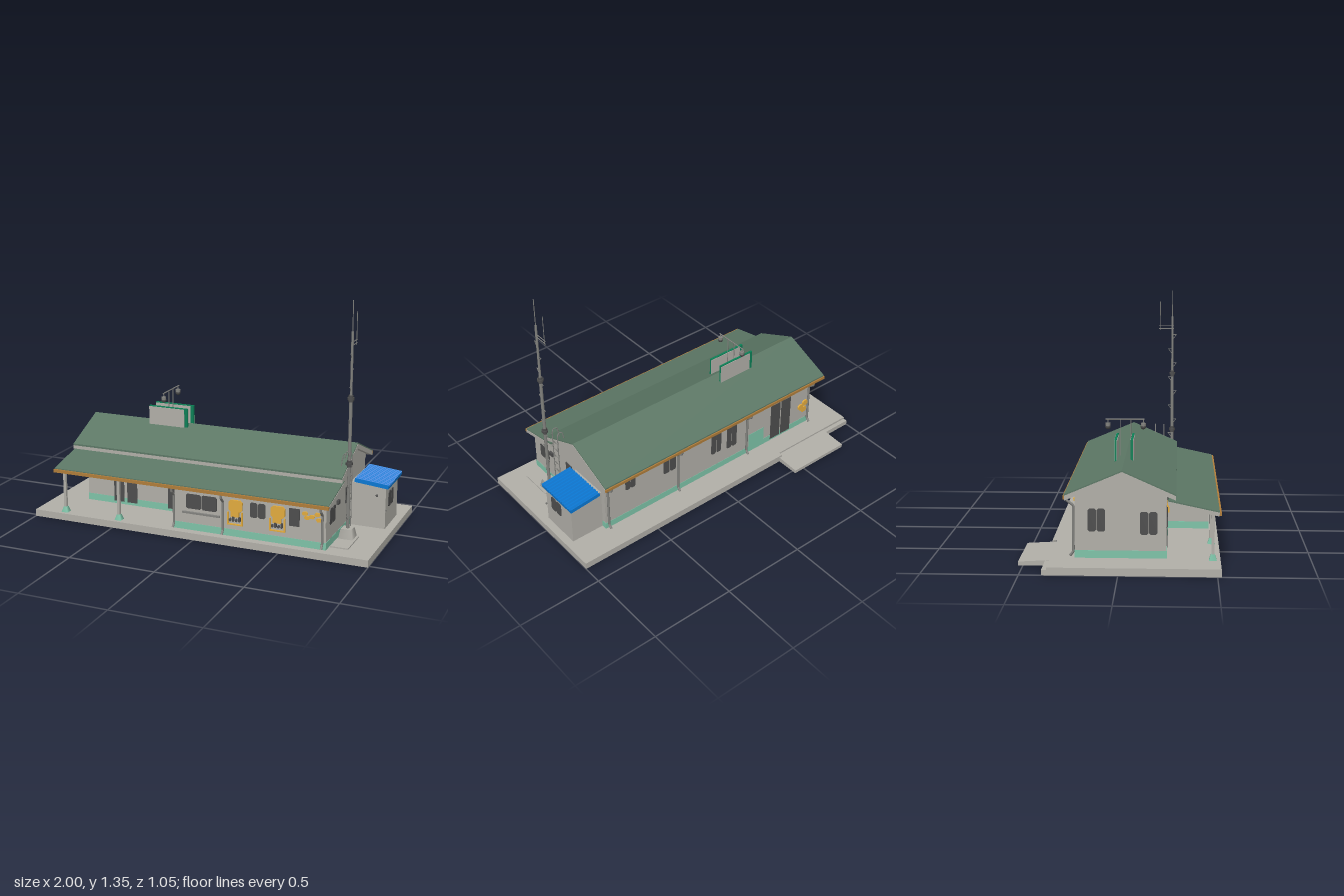
import * as THREE from 'three';

const mat = (name, color, double) => {
  const m = new THREE.MeshStandardMaterial({ color });
  m.name = name;
  if (double) m.side = THREE.DoubleSide;
  return m;
};

export function createModel() {
  const root = new THREE.Group();
  root.name = 'stationBuilding';
  const grey = mat('concreteGrey', 0xb1afa8, true);
  const green = mat('roofGreen', 0x5c7765);
  const teal = mat('tealBand', 0x7ec3a8);
  const dark = mat('darkGlass', 0x4e4e4e);
  const steel = mat('steelGrey', 0x82827e);
  const orange = mat('orangePaint', 0xe2ab3e);
  const brown = mat('gutterBrown', 0xb07d3a);
  const blue = mat('annexBlue', 0x0a78d4);
  const signGreen = mat('signGreen', 0x0c8056);

  const add = (name, geo, m) => {
    const mesh = new THREE.Mesh(geo, m);
    mesh.name = name;
    root.add(mesh);
    return mesh;
  };
  const box = (name, m, x0, x1, y0, y1, z0, z1) =>
    add(name, new THREE.BoxGeometry(x1 - x0, y1 - y0, z1 - z0)
      .translate((x0 + x1) / 2, (y0 + y1) / 2, (z0 + z1) / 2), m);
  const shapeOf = pts => new THREE.Shape(pts.map(p => new THREE.Vector2(p[0], p[1])));
  // Section given as [z, y] points, swept along x
  const sweepX = (name, m, pts, x0, x1) =>
    add(name, new THREE.ExtrudeGeometry(shapeOf(pts.map(([z, y]) => [-z, y])), { depth: x1 - x0, bevelEnabled: false })
      .rotateY(Math.PI / 2).translate(x0, 0, 0), m);
  const rod = (name, m, a, b, r, sides = 8) => {
    const p = new THREE.Vector3(...a), d = new THREE.Vector3(...b).sub(p);
    const mesh = add(name, new THREE.CylinderGeometry(r, r, d.length(), sides), m);
    mesh.position.copy(p).addScaledVector(d, 0.5);
    mesh.quaternion.setFromUnitVectors(new THREE.Vector3(0, 1, 0), d.normalize());
  };
  const pipe = (name, m, pts, r) => {
    const path = new THREE.CurvePath();
    for (let i = 1; i < pts.length; i++)
      path.add(new THREE.LineCurve3(new THREE.Vector3(...pts[i - 1]), new THREE.Vector3(...pts[i])));
    add(name, new THREE.TubeGeometry(path, 40, r, 8), m);
  };

  // Platform: open-bottomed slab, cut out under the building
  const footprint = [[-0.8, 0.24], [-0.13, 0.24], [-0.13, 0.47], [0.75, 0.47], [0.75, -0.23], [-0.8, -0.23]];
  const deck = shapeOf([[-1, -0.52], [1, -0.52], [1, 0.385], [-0.45, 0.385], [-0.45, 0.36], [-1, 0.36]]);
  deck.holes.push(new THREE.Path(footprint.map(([x, z]) => new THREE.Vector2(x, -z))));
  add('platformTop', new THREE.ShapeGeometry(deck).rotateX(-Math.PI / 2).translate(0, 0.04, 0), grey);
  box('platformFront', grey, -1, 1, 0, 0.04, 0.515, 0.52);
  box('platformBack', grey, -0.45, 1, 0, 0.04, -0.385, -0.38);
  box('platformBackStep', grey, -1, -0.45, 0, 0.04, -0.36, -0.355);
  box('platformLedge', grey, -1, -0.45, 0, 0.028, -0.385, -0.36);
  for (const s of [-1, 1]) box('platformEnd', grey, s < 0 ? -1 : 0.995, s < 0 ? -0.995 : 1, 0, 0.04, s < 0 ? -0.36 : -0.385, 0.52);
  sweepX('entranceRamp', grey, [[-0.36, 0], [-0.36, 0.03], [-0.525, 0.02], [-0.525, 0]], -0.82, -0.43);

  // Main walls as thin sheets
  const wallX = (name, x0, x1, h, z) => box(name, grey, x0, x1, 0.04, h, z - 0.002, z + 0.002);
  wallX('frontWall', -0.13, 0.75, 0.305, 0.47);
  wallX('porchWall', -0.8, -0.13, 0.36, 0.24);
  wallX('backWall', -0.8, 0.75, 0.375, -0.23);
  const peak = [[0.24, 0.39], [0.015, 0.485], [-0.23, 0.38], [-0.23, 0.04]];
  sweepX('gableWall', grey, [[0.47, 0.04], [0.47, 0.3], [0.28, 0.34], [0.28, 0.37], ...peak], 0.748, 0.752);
  sweepX('gableWall', grey, [[0.24, 0.04], ...peak], -0.802, -0.798);
  sweepX('porchSideWall', grey, [[0.47, 0.04], [0.47, 0.3], [0.24, 0.34], [0.24, 0.04]], -0.132, -0.128);
  footprint.forEach(([x, z], i) => {
    const [u, v] = footprint[(i + 1) % footprint.length], t = 0.0035;
    box('tealBand', teal, Math.min(x, u) - t, Math.max(x, u) + t, 0.04, 0.08, Math.min(z, v) - t, Math.max(z, v) + t);
  });
  box('tealPatch', teal, -0.43, -0.31, 0.08, 0.17, -0.2335, -0.231);

  // Roofs: grey slabs with green sheets on top
  sweepX('mainRoofSlab', grey, [[0.29, 0.36], [0.29, 0.383], [0.015, 0.505], [-0.28, 0.38], [-0.28, 0.355], [0.015, 0.477]], -0.87, 0.78);
  sweepX('mainRoofSheet', green, [[0.291, 0.38], [0.291, 0.39], [0.015, 0.512], [-0.281, 0.387], [-0.281, 0.379], [0.015, 0.505]], -0.868, 0.778);
  sweepX('porchRoofSlab', grey, [[0.511, 0.28], [0.511, 0.3], [0.25, 0.355], [0.25, 0.335]], -0.87, 0.78);
  sweepX('porchRoofSheet', green, [[0.512, 0.299], [0.512, 0.306], [0.25, 0.362], [0.25, 0.354]], -0.868, 0.778);
  box('frontGutter', brown, -0.87, 0.78, 0.283, 0.301, 0.511, 0.522);
  box('backGutter', brown, -0.87, 0.78, 0.362, 0.379, -0.288, -0.279);

  // Porch posts with flared feet, and downpipes
  for (const x of [-0.82, -0.475]) {
    box('porchPost', grey, x - 0.008, x + 0.008, 0.04, 0.29, 0.472, 0.488);
    add('postFoot', new THREE.CylinderGeometry(0.014, 0.028, 0.032, 4).rotateY(Math.PI / 4).translate(x, 0.056, 0.48), teal);
  }
  for (const x of [-0.13, 0.165, 0.735])
    pipe('frontDownpipe', steel, [[x, 0.285, 0.515], [x, 0.265, 0.512], [x, 0.235, 0.482], [x, 0.075, 0.482], [x, 0.05, 0.5]], 0.007);
  for (const x of [-0.79, -0.287, 0.24, 0.735])
    pipe('backDownpipe', steel, [[x, 0.365, -0.28], [x, 0.34, -0.275], [x, 0.315, -0.24], [x, 0.07, -0.24], [x, 0.048, -0.258]], 0.007);

  // Flat panels on the walls; u is x on front and back, z on the ends
  const panel = (name, m, axis, at, u0, u1, y0, y1, c = 0) => {
    const g = new THREE.ExtrudeGeometry(c ? shapeOf([[u0 + c, y0], [u1 - c, y0], [u1, y0 + c], [u1, y1 - c],
      [u1 - c, y1], [u0 + c, y1], [u0, y1 - c], [u0, y0 + c]]) : shapeOf([[u0, y0], [u1, y0], [u1, y1], [u0, y1]]),
    { depth: 0.009, bevelEnabled: false }).translate(0, 0, -0.0045);
    if (axis === 'x') g.rotateY(-Math.PI / 2).translate(at, 0, 0);
    else g.translate(0, 0, at);
    add(name, g, m);
  };
  const pair = (axis, at, u0, u1, y0, y1) => {
    const mid = (u0 + u1) / 2;
    panel('windowPane', dark, axis, at, u0, mid - 0.002, y0, y1, 0.008);
    panel('windowPane', dark, axis, at, mid + 0.002, u1, y0, y1, 0.008);
  };
  pair('z', 0.47, -0.06, 0.125, 0.165, 0.25);
  pair('z', 0.47, 0.32, 0.41, 0.165, 0.25);
  panel('sideDoorPane', dark, 'z', 0.47, 0.545, 0.605, 0.15, 0.25);
  box('windowLedge', steel, -0.08, 0.145, 0.138, 0.148, 0.47, 0.485);
  panel('porchDoor', dark, 'z', 0.24, -0.63, -0.565, 0.055, 0.26);
  panel('porchDoor', dark, 'z', 0.24, -0.545, -0.48, 0.055, 0.26);
  panel('doorSign', orange, 'z', 0.247, -0.6, -0.5, 0.268, 0.283);
  panel('porchSideDoor', dark, 'z', 0.24, -0.28, -0.2, 0.055, 0.25);
  panel('doorHandle', orange, 'z', 0.247, -0.216, -0.208, 0.15, 0.18);
  pair('z', -0.23, 0.54, 0.61, 0.245, 0.31);
  pair('z', -0.23, 0.25, 0.34, 0.215, 0.325);
  pair('z', -0.23, -0.09, -0.015, 0.17, 0.335);
  pair('z', -0.23, -0.21, -0.135, 0.155, 0.32);
  panel('backDoor', dark, 'z', -0.23, -0.645, -0.57, 0.05, 0.3);
  panel('backDoor', dark, 'z', -0.23, -0.56, -0.485, 0.05, 0.3);
  for (const [u, y] of [[-0.765, 0.18], [-0.73, 0.16], [-0.755, 0.135]])
    panel('wallMark', orange, 'z', -0.237, u - 0.02, u + 0.02, y, y + 0.038, 0.01);
  panel('wallMark', orange, 'z', -0.237, -0.765, -0.735, 0.33, 0.345);
  pair('x', -0.8, -0.165, -0.075, 0.18, 0.3);
  pair('x', -0.8, 0.105, 0.195, 0.165, 0.285);
  pair('x', 0.75, 0.318, 0.41, 0.16, 0.25);
  panel('louvre', dark, 'x', 0.752, 0.085, 0.14, 0.195, 0.285);
  box('meterBox', dark, 0.75, 0.765, 0.238, 0.262, 0.27, 0.3);

  // Painted boards on the front wall
  for (const u of [0.19, 0.435]) {
    panel('boardTop', orange, 'z', 0.477, u + 0.008, u + 0.088, 0.185, 0.252, 0.012);
    panel('boardMiddle', orange, 'z', 0.477, u + 0.02, u + 0.068, 0.155, 0.185);
    panel('boardEdge', orange, 'z', 0.477, u, u + 0.007, 0.115, 0.18);
    panel('boardEdge', orange, 'z', 0.477, u + 0.083, u + 0.09, 0.115, 0.185);
    panel('boardEdge', orange, 'z', 0.477, u, u + 0.09, 0.108, 0.115);
    for (let i = 0; i < 4; i++)
      panel('boardDetail', dark, 'z', 0.478, u + 0.01 + i * 0.018, u + 0.023 + i * 0.018, 0.128, 0.146 + (i % 2) * 0.012, 0.004);
  }
  for (const [u, y] of [[0.635, 0.222], [0.648, 0.2], [0.675, 0.208], [0.705, 0.225], [0.715, 0.195]])
    panel('wallMark', orange, 'z', 0.477, u - 0.016, u + 0.016, y, y + 0.02, 0.007);

  // Annex with corrugated lean-to roof
  sweepX('annexWalls', grey, [[0.045, 0.04], [0.045, 0.29], [-0.2, 0.29], [-0.2, 0.04]], 0.752, 0.955);
  pair('x', 0.955, -0.1, -0.007, 0.155, 0.243);
  box('annexDoorHandle', steel, 0.955, 0.962, 0.145, 0.155, 0.045, 0.052);
  add('annexLamp', new THREE.SphereGeometry(0.007, 10, 8), dark).position.set(0.905, 0.23, 0.047);
  const ribs = [], n = 104;
  for (let i = 0; i <= n; i++) {
    const wave = THREE.MathUtils.clamp(1.5 * Math.cos(i * Math.PI / 4), -1, 1);
    ribs.push([0.057 - 0.282 * i / n, 0.006 + 0.005 * wave]);
  }
  const lean = sweepX('annexRoof', blue, [[0.057, -0.012], ...ribs, [-0.225, -0.012]], 0, 0.195);
  lean.position.set(0.778, 0.308, 0);
  lean.rotation.z = -0.1;

  // Twin sign boards: green edges, grey on both faces with a green margin at one end
  for (const z of [0.05, -0.038]) {
    box('signBoard', signGreen, -0.485, -0.24, 0.488, 0.605, z - 0.006, z + 0.006);
    for (const s of [-1, 1])
      box('signFace', grey, s > 0 ? -0.485 : -0.465, s > 0 ? -0.26 : -0.24, 0.488, 0.6, z + s * 0.007 - 0.002, z + s * 0.007 + 0.002);
  }
  // Lamp frame on the ridge
  for (const z of [0.04, -0.015]) rod('lampPost', steel, [-0.365, 0.49, z], [-0.365, 0.7, z], 0.0025);
  rod('lampBar', steel, [-0.365, 0.7, 0.115], [-0.365, 0.7, -0.097], 0.0035);
  for (const z of [0.108, -0.085]) {
    rod('lampHanger', steel, [-0.365, 0.7, z], [-0.365, 0.675, z], 0.003);
    add('lampBulb', new THREE.SphereGeometry(0.015, 12, 8), dark).position.set(-0.365, 0.66, z);
    rod('lampCap', steel, [-0.365, 0.665, z], [-0.365, 0.68, z], 0.014, 12);
  }

  // Antenna mast
  const mx = 0.805, mz = 0.257;
  box('mastPad', grey, 0.76, 0.86, 0.04, 0.047, 0.22, 0.42);
  add('mastFooting', new THREE.CylinderGeometry(0.042, 0.06, 0.06, 4).rotateY(Math.PI / 4).translate(mx, 0.07, mz), grey);
  rod('mastLower', steel, [mx, 0.1, mz], [mx, 0.82, mz], 0.0095);
  rod('mastUpper', steel, [mx, 0.82, mz], [mx, 1.185, mz], 0.007);
  rod('mastTip', steel, [mx, 1.18, mz], [mx, 1.35, mz], 0.0025);
  for (const y of [0.465, 0.825]) {
    rod('mastCollar', dark, [mx, y - 0.007, mz], [mx, y + 0.007, mz], 0.019, 10);
    rod('mastSleeve', dark, [mx, y - 0.019, mz], [mx, y + 0.019, mz], 0.0125, 10);
  }
  for (const y of [1.11, 1.128]) rod('antennaArm', steel, [mx, y, mz + 0.01], [mx, y, 0.17], 0.0025);
  rod('sideAntenna', steel, [mx, 1.1, 0.18], [mx, 1.28, 0.18], 0.002);
  for (let i = 0; i < 11; i++) {
    const y = 0.15 + i * 0.09, s = i % 2 ? -1 : 1;
    rod('climbingStep', steel, [mx, y + 0.022, mz], [mx, y + 0.022, mz + s * 0.027], 0.002, 6);
    rod('stepBrace', steel, [mx, y - 0.004, mz + s * 0.006], [mx, y + 0.022, mz + s * 0.025], 0.002, 6);
  }

  // Roof ladder
  for (const z of [0.153, 0.205])
    pipe('ladderRail', steel, [[0.79, 0.04, z], [0.79, 0.48, z], [0.78, 0.503, z], [0.755, 0.495, z], [0.745, 0.43, z]], 0.003);
  for (let i = 0; i < 8; i++) rod('ladderRung', steel, [0.79, 0.07 + i * 0.05, 0.153], [0.79, 0.07 + i * 0.05, 0.205], 0.0025, 6);

  return root;
}
